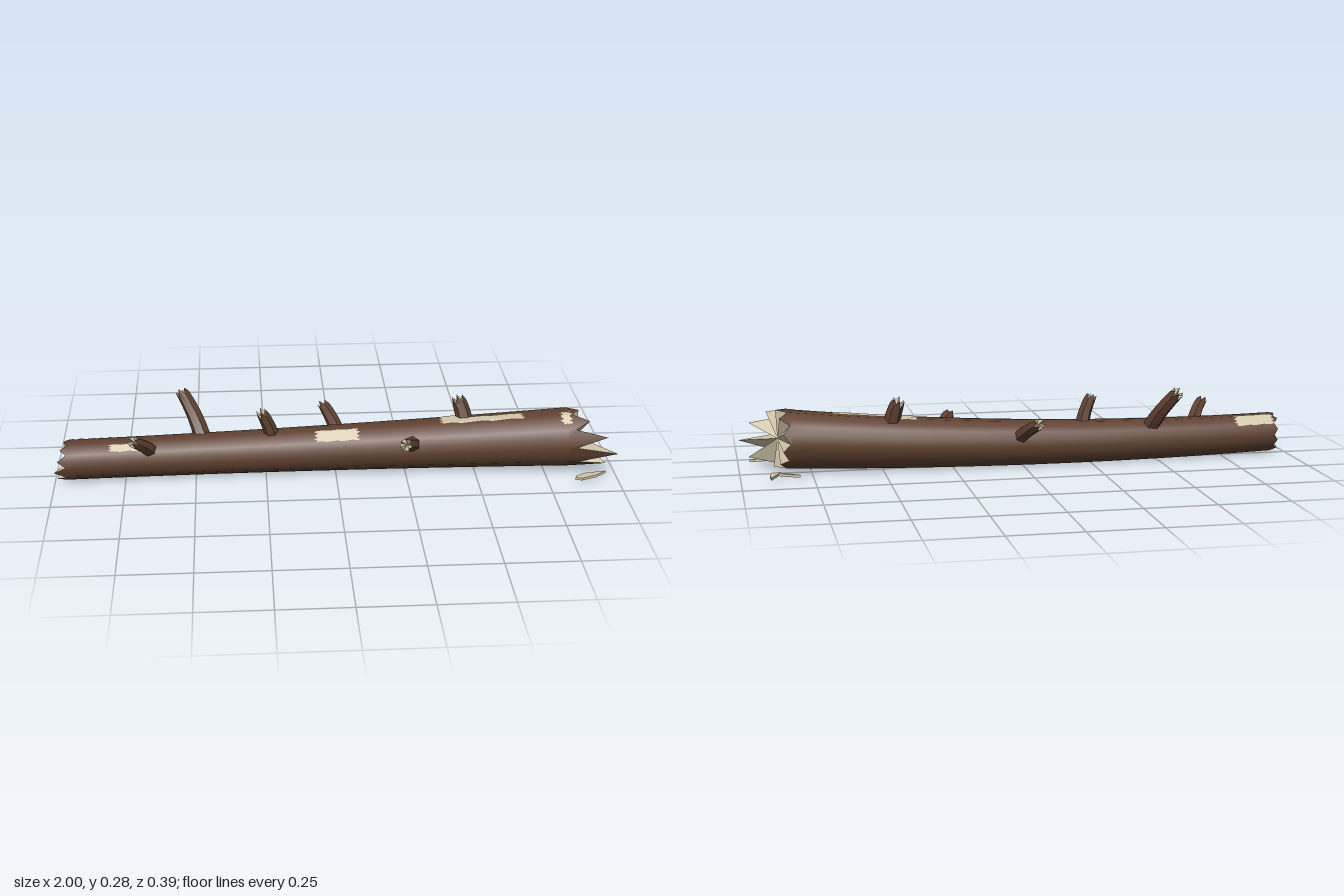
import * as THREE from 'three';
import { mergeVertices } from 'three/addons/utils/BufferGeometryUtils.js';

const bark = new THREE.MeshStandardMaterial({ color: 0x5f4131 });
const wood = new THREE.MeshStandardMaterial({ color: 0xd2c6aa });
const SIDES = 10, RIM = SIDES * 2, STEP = (Math.PI * 2) / RIM;

// Point on the ten-sided, gently bowed and tapered log
function logPoint(x, angle, lift = 0) {
  const sector = STEP * 2;
  const local = (((angle % sector) + sector) % sector) - STEP;
  const r = (0.083 + 0.02 * x + 0.008 * x * x) * Math.cos(STEP) / Math.cos(local) + lift;
  return new THREE.Vector3(
    x,
    0.082 + 0.026 * x + 0.022 * x * x + r * Math.sin(angle),
    -0.01 + 0.008 * x + 0.047 * x * x + r * Math.cos(angle));
}

// Surface from a rule point(i, j); smooth or faceted
function grid(nu, nv, point, smooth) {
  const pos = [], index = [];
  for (let i = 0; i <= nu; i++) for (let j = 0; j <= nv; j++) pos.push(...point(i, j).toArray());
  for (let i = 0; i < nu; i++) for (let j = 0; j < nv; j++) {
    const a = i * (nv + 1) + j, b = a + nv + 1;
    index.push(a, b, b + 1, a, b + 1, a + 1);
  }
  let g = new THREE.BufferGeometry();
  g.setAttribute('position', new THREE.Float32BufferAttribute(pos, 3));
  g.setIndex(index);
  g = smooth ? mergeVertices(g) : g.toNonIndexed();
  g.computeVertexNormals();
  return g;
}

// Faceted fan from a centre to a rim; flip for the start end
function fan(centre, rim, flip) {
  const pos = [];
  rim.forEach((p, j) => {
    const q = rim[(j + 1) % rim.length];
    for (const v of flip ? [centre, p, q] : [centre, q, p]) pos.push(...v.toArray());
  });
  const g = new THREE.BufferGeometry();
  g.setAttribute('position', new THREE.Float32BufferAttribute(pos, 3));
  g.computeVertexNormals();
  return g;
}

function add(parent, name, geometry, material) {
  const mesh = new THREE.Mesh(geometry, material);
  mesh.name = name;
  parent.add(mesh);
}

// Jagged stub: bark sleeve on a curved axis with a broken wood tip
function branch(base, tip, radius, bend) {
  const group = new THREE.Group();
  group.name = 'branchStub';
  const a = new THREE.Vector3(...base), b = new THREE.Vector3(...tip);
  const mid = a.clone().lerp(b, 0.5);
  mid.x += bend;
  const curve = new THREE.QuadraticBezierCurve3(a, mid, b);
  const n = 12, rows = 4;
  const point = (i, j) => {
    const t = i / rows, d = curve.getTangent(t);
    const u = new THREE.Vector3(0, 0, 1).cross(d).normalize();
    const v = u.clone().cross(d);
    const ang = (j / n) * Math.PI * 2;
    const r = radius * (1 - 0.22 * t) * (j % 2 ? 0.87 : 1);
    const jag = i === rows ? (j % 2 ? 0.008 + 0.004 * Math.sin(j * 2.3) : -0.014) : 0;
    return curve.getPoint(t).addScaledVector(u, r * Math.cos(ang))
      .addScaledVector(v, r * Math.sin(ang)).addScaledVector(d, jag);
  };
  add(group, 'branchBark', grid(rows, n, point, false), bark);
  const rim = Array.from({ length: n }, (_, j) => point(rows, j));
  const centre = b.clone().addScaledVector(curve.getTangent(1), -0.018);
  add(group, 'branchBrokenTip', fan(centre, rim, false), wood);
  return group;
}

// Exposed wood where bark has come off, laid just over the log
function patch(x0, x1, deg0, deg1) {
  const nu = 8, nv = 8;
  return grid(nu, nv, (i, j) => {
    const v = j / nv;
    const ragged = 0.008 * Math.sin(j * 2.4);
    const x = THREE.MathUtils.lerp(x0 + ragged, x1 + ragged, i / nu);
    const edge = 1.5 * Math.sin(i * 2.1);
    return logPoint(x, THREE.MathUtils.degToRad(THREE.MathUtils.lerp(deg0, deg1, v) + edge), 0.002);
  }, true);
}

export function createModel() {
  const model = new THREE.Group();
  model.name = 'fallenLog';

  // Rim positions around each end, starting at the front and going up
  const rightRim = [0.85, 0.96, 0.85, 0.9, 0.84, 0.87, 0.83, 0.86, 0.825, 0.85,
    0.825, 0.85, 0.83, 0.86, 0.835, 0.88, 0.84, 0.965, 0.86, 0.998];
  const leftRim = [-0.955, -0.985, -0.955, -0.975, -0.95, -0.965, -0.945, -0.965, -0.945, -0.96,
    -0.945, -0.96, -0.945, -0.965, -0.945, -0.97, -0.95, -0.99, -0.955, -0.998];

  // Bark body
  const rows = 20;
  add(model, 'logBark', grid(rows, RIM, (i, j) => {
    const k = j % RIM;
    const x = i === 0 ? leftRim[k] : i === rows ? rightRim[k]
      : THREE.MathUtils.lerp(-0.93, 0.82, (i - 1) / (rows - 2));
    return logPoint(x, k * STEP);
  }, true), bark);

  // Splintered ends
  const ring = (xs) => xs.map((x, k) => logPoint(x, k * STEP));
  const axis = (x) => logPoint(x, 0).add(logPoint(x, Math.PI)).multiplyScalar(0.5);
  add(model, 'rightBrokenEnd', fan(axis(0.865), ring(rightRim), false), wood);
  add(model, 'leftBrokenEnd', fan(axis(-0.945), ring(leftRim), true), wood);

  // Bare patches
  const patches = [
    [0.38, 0.67, 70, 92], [0.38, 0.48, 92, 110], [-0.07, 0.08, 40, 72],
    [-0.8, -0.66, 41, 64], [-0.945, -0.8, 106, 146], [0.805, 0.835, 50, 82],
  ];
  for (const p of patches) add(model, 'barePatch', patch(...p), wood);

  // Branch stubs
  const branches = [
    [[-0.66, 0.115, 0.045], [-0.715, 0.185, 0.125], 0.027, 0.01],
    [[-0.475, 0.125, -0.03], [-0.545, 0.262, -0.13], 0.031, 0.015],
    [[-0.225, 0.13, -0.005], [-0.262, 0.235, 0.013], 0.027, 0.01],
    [[0.015, 0.11, -0.06], [-0.032, 0.178, -0.18], 0.028, 0.01],
    [[0.275, 0.115, 0.05], [0.238, 0.16, 0.158], 0.029, 0.01],
    [[0.468, 0.16, -0.015], [0.445, 0.25, -0.038], 0.032, 0.008],
  ];
  for (const b of branches) model.add(branch(...b));

  // Loose wood chips beside the right end (outline in x, z)
  const chips = [
    [[0.8, -0.15], [0.82, -0.145], [0.885, -0.107], [0.878, -0.09], [0.845, -0.115]],
    [[0.872, -0.118], [0.9, -0.182], [0.903, -0.14], [0.89, -0.093]],
    [[0.842, 0.182], [0.85, 0.165], [0.885, 0.145], [0.96, 0.132], [0.92, 0.165], [0.865, 0.188]],
  ];
  for (const c of chips) {
    const shape = new THREE.Shape(c.map(([x, z]) => new THREE.Vector2(x, -z)));
    const g = new THREE.ExtrudeGeometry(shape, { depth: 0.009, bevelEnabled: false });
    g.rotateX(-Math.PI / 2).translate(0, 0.018, 0);
    add(model, 'woodChip', g, wood);
  }
  return model;
}
